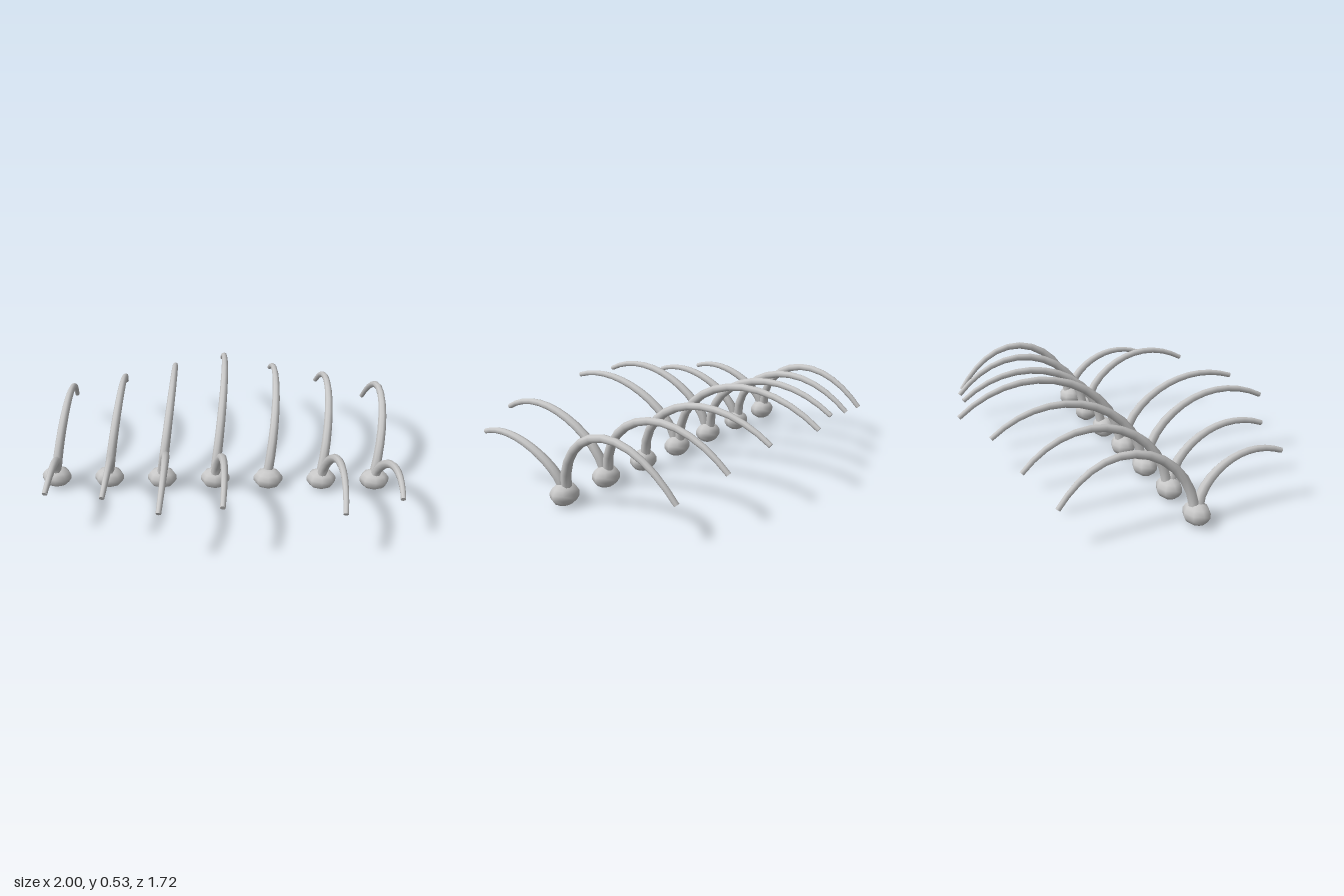
import * as THREE from 'three';

const bone = new THREE.MeshStandardMaterial({ color: 0xc8c8c8 });
bone.name = 'bone grey';

const BASE_Y = 0.1, BASE_Z = 0.1, SPACING = 0.3057;
const R_BASE = 0.028, R_TIP = 0.014, LEAN = 0.05;
const RINGS = 12, SIDES = 8;

// [z of tip, height of tip, height of the arch]
const backRibs = [
  [-0.615, 0.21, 0.412], [-0.69, 0.27, 0.437], [-0.757, 0.34, 0.465], [-0.852, 0.36, 0.507],
  [-0.757, 0.34, 0.465], [-0.715, 0.272, 0.457], [-0.638, 0.2, 0.442],
];
const frontRibs = [
  [0.604, 0.294, 0.302], [0.674, 0.322, 0.332], [0.848, 0.36, 0.404], [0.828, 0.385, 0.392],
  null, [0.797, 0.33, 0.383], [0.627, 0.3, 0.307],
];

// Arched curve rising from the vertebra and drooping to its tip, leaning sideways with height
function ribCurve([tipZ, tipY, peak], rise, crest) {
  const y1 = peak * rise;
  const y2 = (peak - 0.0064 - 0.288 * y1 - 0.216 * tipY) / 0.432;
  const ys = [BASE_Y, y1, y2, tipY];
  const us = [0.02, 0.05, crest, 1];
  const slope = LEAN / (peak - BASE_Y);
  const p = us.map((u, i) =>
    new THREE.Vector3((ys[i] - BASE_Y) * slope, ys[i], THREE.MathUtils.lerp(BASE_Z, tipZ, u)));
  return new THREE.CubicBezierCurve3(...p);
}

// Tube that narrows towards its tip, closed by a small disc
function makeRib(name, curve) {
  const rib = new THREE.Group();
  rib.name = name;
  const geo = new THREE.TubeGeometry(curve, RINGS, 1, SIDES, false);
  const pos = geo.attributes.position;
  const v = new THREE.Vector3();
  for (let i = 0; i <= RINGS; i++) {
    const t = i / RINGS;
    const centre = curve.getPointAt(t);
    const radius = THREE.MathUtils.lerp(R_BASE, R_TIP, t);
    for (let j = 0; j <= SIDES; j++) {
      const k = i * (SIDES + 1) + j;
      v.fromBufferAttribute(pos, k).sub(centre).multiplyScalar(radius).add(centre);
      pos.setXYZ(k, v.x, v.y, v.z);
    }
  }
  const shaft = new THREE.Mesh(geo, bone);
  shaft.name = 'ribShaft';

  const cap = new THREE.Mesh(new THREE.CircleGeometry(R_TIP, SIDES), bone);
  cap.name = 'ribTip';
  cap.position.copy(curve.getPointAt(1));
  cap.quaternion.setFromUnitVectors(new THREE.Vector3(0, 0, 1), curve.getTangentAt(1));
  rib.add(shaft, cap);
  return rib;
}

export function createModel() {
  const model = new THREE.Group();
  model.name = 'ribcage';

  for (let i = 0; i < 7; i++) {
    const segment = new THREE.Group();
    segment.name = `segment${i + 1}`;
    segment.position.x = (i - 3) * SPACING;

    // Flattened ball of the spine
    const vertebra = new THREE.Mesh(new THREE.SphereGeometry(1, 8, 7), bone);
    vertebra.name = 'vertebra';
    vertebra.scale.set(0.085, 0.06, 0.069);
    vertebra.position.set(0, 0.06, BASE_Z);
    segment.add(vertebra);

    segment.add(makeRib('backRib', ribCurve(backRibs[i], 0.92, 0.59)));
    // One front rib is missing
    if (frontRibs[i]) segment.add(makeRib('frontRib', ribCurve(frontRibs[i], 0.71, 0.52)));
    model.add(segment);
  }
  return model;
}
